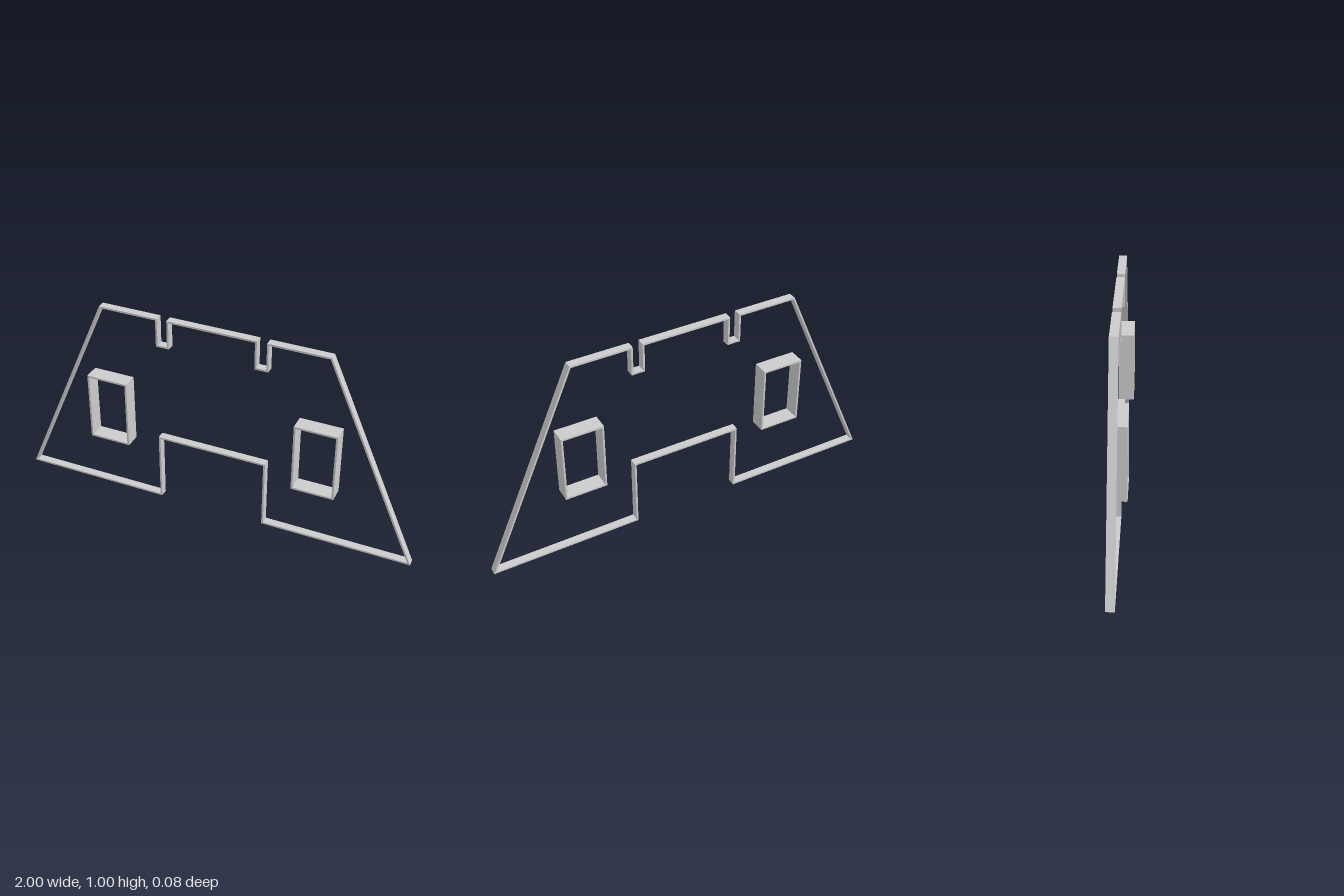
import * as THREE from 'three';

const WALL = 0.009;   // wall thickness
const DEPTH = 0.039;  // depth of the outer band

// Move every edge of a counter-clockwise polygon inward by d, with mitred corners
function inset(points, d) {
  const n = points.length;
  return points.map((p, i) => {
    const a = p.clone().sub(points[(i + n - 1) % n]).normalize();
    const b = points[(i + 1) % n].clone().sub(p).normalize();
    const na = new THREE.Vector2(-a.y, a.x);
    const nb = new THREE.Vector2(-b.y, b.x);
    const miter = na.clone().add(nb).multiplyScalar(d / (1 + na.dot(nb)));
    return p.clone().add(miter);
  });
}

// Thin wall following a closed outline, extruded from z0 to z1
function band(name, coords, z0, z1, material) {
  const points = coords.map(([x, y]) => new THREE.Vector2(x, y));
  const shape = new THREE.Shape(points);
  shape.holes.push(new THREE.Path(inset(points, WALL)));
  const geometry = new THREE.ExtrudeGeometry(shape, { depth: z1 - z0, bevelEnabled: false });
  geometry.translate(0, 0, z0);
  const mesh = new THREE.Mesh(geometry, material);
  mesh.name = name;
  return mesh;
}

export function createModel() {
  const group = new THREE.Group();
  group.name = 'outlineFrame';
  const material = new THREE.MeshStandardMaterial({ color: 0xcccccc, flatShading: true });

  // Right half of the trapezoid outline: bottom recess, sloped side, top slot
  const half = [
    [0.265, 0.345], [0.265, 0], [1, 0], [0.557, 1],
    [0.264, 1], [0.264, 0.865], [0.217, 0.865], [0.217, 1],
  ];
  const mirrored = half.map(([x, y]) => [-x, y]).reverse();
  group.add(band('outerWall', [...half, ...mirrored], -DEPTH, 0, material));

  // Two deeper rectangular window frames
  for (const [name, side] of [['leftWindowFrame', 1], ['rightWindowFrame', -1]]) {
    const cx = side * 0.52, w = 0.103;
    group.add(band(name, [
      [cx - w, 0.288], [cx + w, 0.288], [cx + w, 0.634], [cx - w, 0.634],
    ], -DEPTH, DEPTH, material));
  }
  return group;
}
